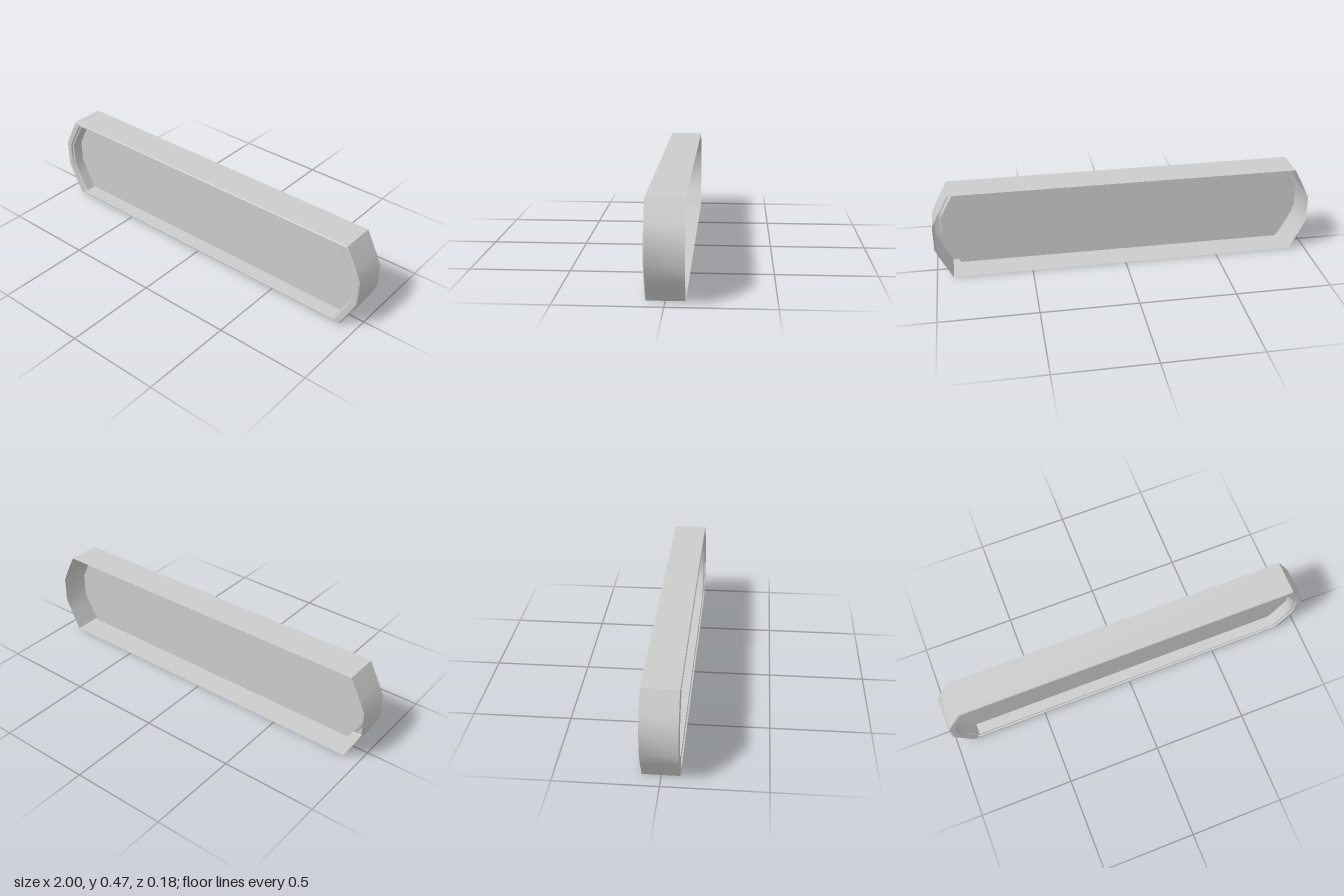
import * as THREE from 'three';
import { toCreasedNormals } from 'three/addons/utils/BufferGeometryUtils.js';

const HALF_H = 0.236;
// Right-hand end of the outline, bottom to top: x, height from the middle
const END = [[0.915, -HALF_H], [0.968, -0.135], [1, -0.066], [1, 0.066], [0.968, 0.135], [0.915, HALF_H]];

// Outline ring, moved inward by dx at the ends and dy at top and bottom
function ring(dx, dy, z) {
  const k = 1 - dy / HALF_H;
  const right = END.map(([x, y]) => new THREE.Vector3(x - dx, HALF_H + y * k, z));
  const left = END.map(([x, y]) => new THREE.Vector3(dx - x, HALF_H - y * k, z));
  return [...right, ...left];
}

// Skin joining successive rings
function loft(rings) {
  const pos = [];
  for (let r = 0; r < rings.length - 1; r++) {
    const a = rings[r], b = rings[r + 1], n = a.length;
    for (let i = 0; i < n; i++) {
      const j = (i + 1) % n;
      for (const p of [a[i], a[j], b[j], a[i], b[j], b[i]]) pos.push(p.x, p.y, p.z);
    }
  }
  const geo = new THREE.BufferGeometry();
  geo.setAttribute('position', new THREE.Float32BufferAttribute(pos, 3));
  return toCreasedNormals(geo, 0.6);
}

export function createModel() {
  const group = new THREE.Group();
  group.name = 'trayPanel';
  const material = new THREE.MeshStandardMaterial({ color: 0xcccccc, side: THREE.DoubleSide });
  const add = (name, geo) => {
    const mesh = new THREE.Mesh(geo, material);
    mesh.name = name;
    group.add(mesh);
  };

  // Thin outer wall, open at the back, with a fine chamfer at the front
  add('outerWall', loft([ring(0, 0, -0.091), ring(0, 0, 0.087), ring(0.005, 0.004, 0.091)]));

  // Flat front rim with a small step down its inner edge
  add('frontRim', loft([
    ring(0.005, 0.004, 0.091), ring(0.031, 0.014, 0.091),
    ring(0.034, 0.016, 0.083), ring(0.043, 0.022, 0.08),
  ]));

  // Recess wall running back to the panel
  add('recessWall', loft([ring(0.043, 0.022, 0.08), ring(0.043, 0.022, 0.022)]));

  // Recessed panel
  const outline = ring(0.043, 0.022, 0).map((p) => new THREE.Vector2(p.x, p.y));
  add('panel', new THREE.ShapeGeometry(new THREE.Shape(outline)).translate(0, 0, 0.022));

  return group;
}
